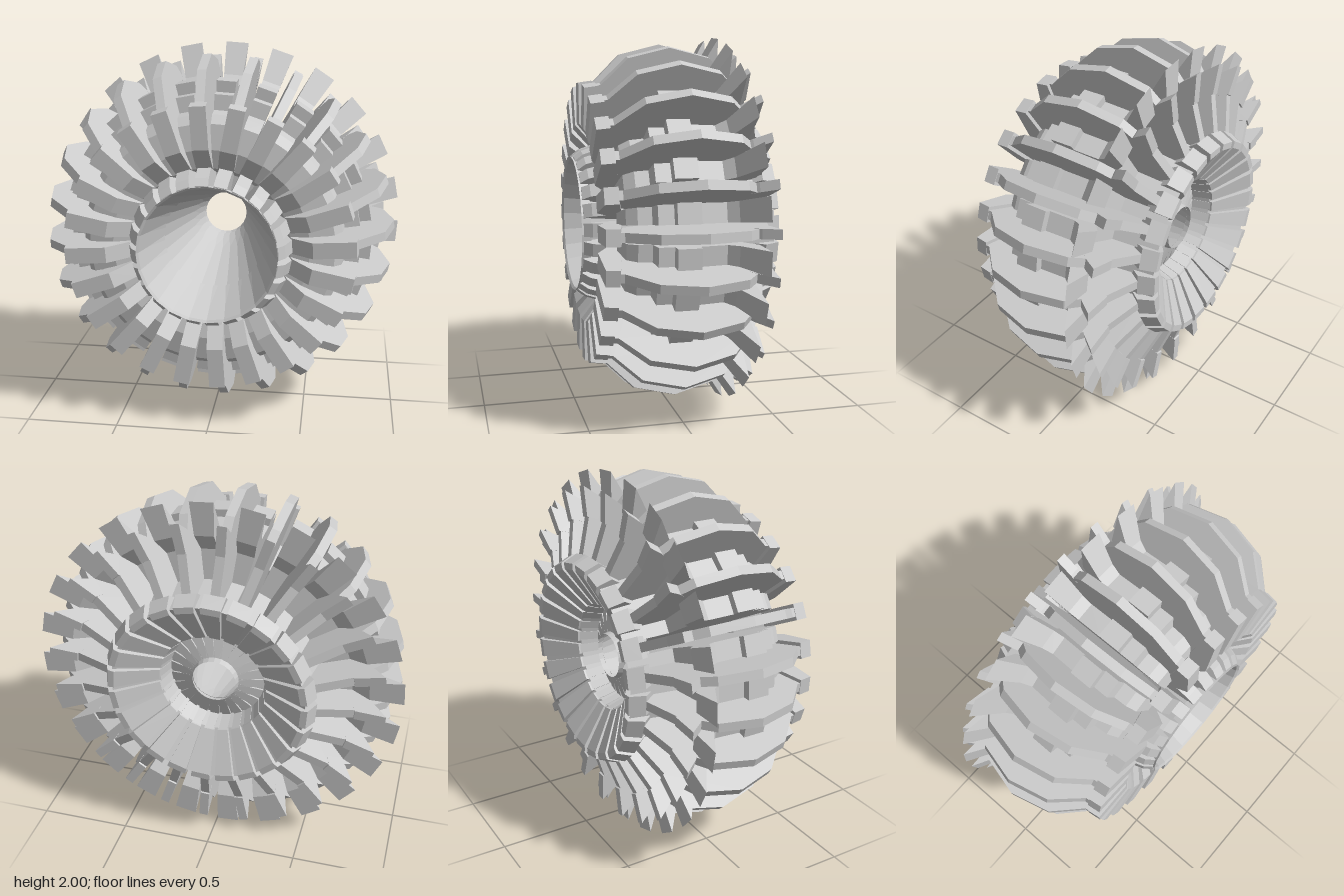
import * as THREE from 'three';

const COUNT = 24;
const PITCH = (Math.PI * 2) / COUNT;
const OFFSET = PITCH / 4;
const material = new THREE.MeshStandardMaterial({ color: 0xcccccc, flatShading: true, side: THREE.DoubleSide });

// Upright radial plate from a [z, radius] outline; width(radius) gives its thickness
function plate(outline, width) {
  const shape = new THREE.Shape(outline.map(([z, r]) => new THREE.Vector2(z, r)));
  const geo = new THREE.ExtrudeGeometry(shape, { depth: 1, bevelEnabled: false });
  geo.translate(0, 0, -0.5);
  geo.rotateY(-Math.PI / 2);
  const p = geo.attributes.position;
  for (let i = 0; i < p.count; i++) p.setX(i, p.getX(i) * width(p.getY(i)));
  geo.computeVertexNormals();
  return geo;
}

// Repeats a geometry around the z axis
function ring(name, geo, offset) {
  const group = new THREE.Group();
  group.name = name;
  for (let i = 0; i < COUNT; i++) {
    const mesh = new THREE.Mesh(geo, material);
    mesh.name = name + 'Segment';
    mesh.rotation.z = -(offset + i * PITCH);
    group.add(mesh);
  }
  return group;
}

export function createModel() {
  const model = new THREE.Group();
  model.name = 'bladedRotor';
  const rotor = new THREE.Group();
  rotor.name = 'rotor';
  rotor.position.y = 1;
  model.add(rotor);

  // Thin curved vanes, hollowed at the front and back around the funnel
  const vane = plate([
    [0.45, 0.55], [0.45, 0.76], [0.36, 0.77], [0.22, 0.91], [0, 0.965], [-0.22, 0.91],
    [-0.36, 0.76], [-0.42, 0.57], [-0.48, 0.53], [-0.36, 0.29],
    [-0.26, 0.26], [-0.3, 0.125], [0.2, 0.28], [0.2, 0.37], [0.36, 0.43],
  ], () => 0.048);
  rotor.add(ring('curvedVane', vane, -OFFSET));

  // Pointed tips flaring from the back of each vane
  const spike = plate([[-0.25, 0.82], [-0.29, 0.86], [-0.37, 0.92], [-0.37, 0.76], [-0.31, 0.74]], () => 0.05);
  rotor.add(ring('backSpike', spike, -OFFSET));

  // Thicker front teeth with faces sloping in towards the funnel
  const tooth = plate([
    [0.45, 0.54], [0.45, 0.76], [0.38, 0.77], [0.33, 0.55], [0.2, 0.45], [0.2, 0.37], [0.36, 0.43],
  ], (r) => Math.min(0.085, 0.22 * r));
  rotor.add(ring('frontTooth', tooth, -OFFSET));

  // Slim ribs bracing the funnel just behind its lip
  const rib = plate([
    [0.49, 0.355], [0.49, 0.368], [0.45, 0.4], [0.36, 0.43], [0.2, 0.37], [0.2, 0.27],
  ], () => 0.07);
  rotor.add(ring('funnelRib', rib, -OFFSET));

  // Slats forming the dished collar at the back
  const backSlat = plate([
    [-0.5, 0.5], [-0.5, 0.535], [-0.42, 0.57], [-0.35, 0.52], [-0.33, 0.29], [-0.37, 0.29],
  ], (r) => 0.2 * r);
  rotor.add(ring('backSlat', backSlat, -OFFSET));

  // Wide stepped blades ending in slanted paddles, widening outwards
  const blade = plate([
    [0.33, 0.42], [0.35, 0.52], [0.33, 0.65], [0.28, 0.69], [0.21, 0.7], [0.2, 0.78],
    [0.12, 0.78], [0.12, 0.84], [0, 0.84], [0, 0.8], [-0.14, 0.79], [-0.19, 0.83],
    [-0.29, 0.998], [-0.29, 0.82], [-0.22, 0.72], [-0.24, 0.56], [-0.42, 0.53],
    [-0.48, 0.52], [-0.35, 0.29], [-0.25, 0.26], [-0.29, 0.13], [0.2, 0.28], [0.2, 0.37],
  ], (r) => 0.125 * r);
  rotor.add(ring('steppedBlade', blade, OFFSET));

  // Intake funnel, open through the middle
  const profile = [[0.12, -0.33], [0.355, 0.49], [0.367, 0.5], [0.36, 0.45]];
  const funnelGeo = new THREE.LatheGeometry(profile.map(([r, z]) => new THREE.Vector2(r, z)), COUNT);
  funnelGeo.rotateX(Math.PI / 2);
  const funnel = new THREE.Mesh(funnelGeo, material);
  funnel.name = 'intakeFunnel';
  rotor.add(funnel);

  return model;
}
